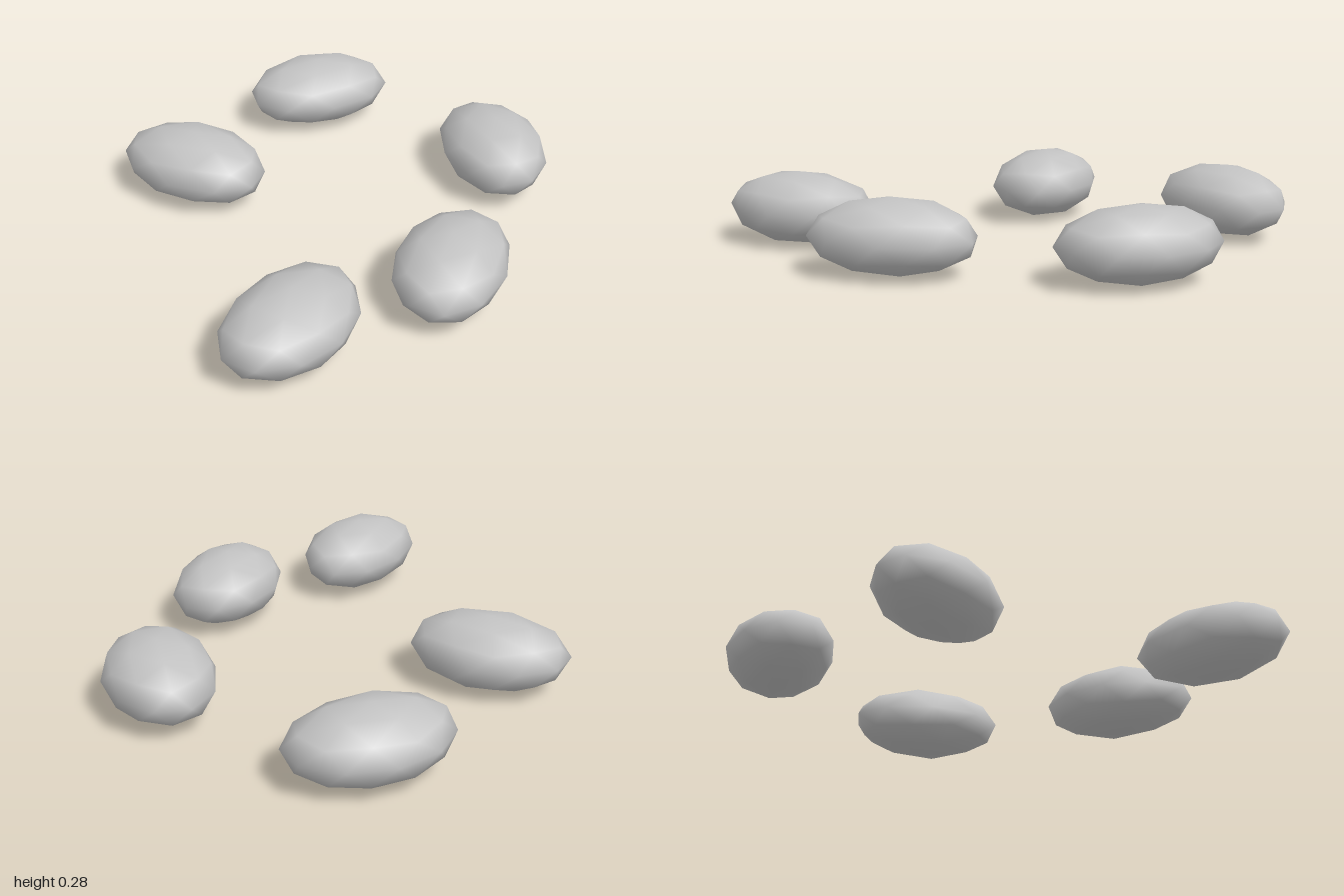
import * as THREE from 'three';

export function createModel() {
  const model = new THREE.Group();
  model.name = 'stones';
  const stoneGrey = new THREE.MeshStandardMaterial({ color: 0xc3c3c3 });
  stoneGrey.name = 'stone grey';

  // Flattened low-poly pebble: icosphere with a vertex turned to the top
  const golden = (1 + Math.sqrt(5)) / 2;
  const pebble = new THREE.IcosahedronGeometry(1, 1);
  pebble.rotateZ(-Math.atan(1 / golden));

  // Slight taper: narrower towards +z
  const points = pebble.attributes.position;
  for (let i = 0; i < points.count; i++) {
    points.setX(i, points.getX(i) * (1 - 0.08 * points.getZ(i)));
  }
  pebble.scale(0.312, 0.14, 0.21);

  // Stone centres [x, z]; each stone is turned a further step
  const centres = [
    [-0.70, 0.375],
    [0.72, 0.36],
    [-0.09, -0.57],
    [0.72, -0.54],
    [-0.10, 0.647],
  ];
  centres.forEach(([x, z], i) => {
    const stone = new THREE.Mesh(pebble, stoneGrey);
    stone.name = `stone${i + 1}`;
    stone.position.set(x, 0.14, z);
    stone.rotation.y = i * 0.85;
    model.add(stone);
  });
  return model;
}
